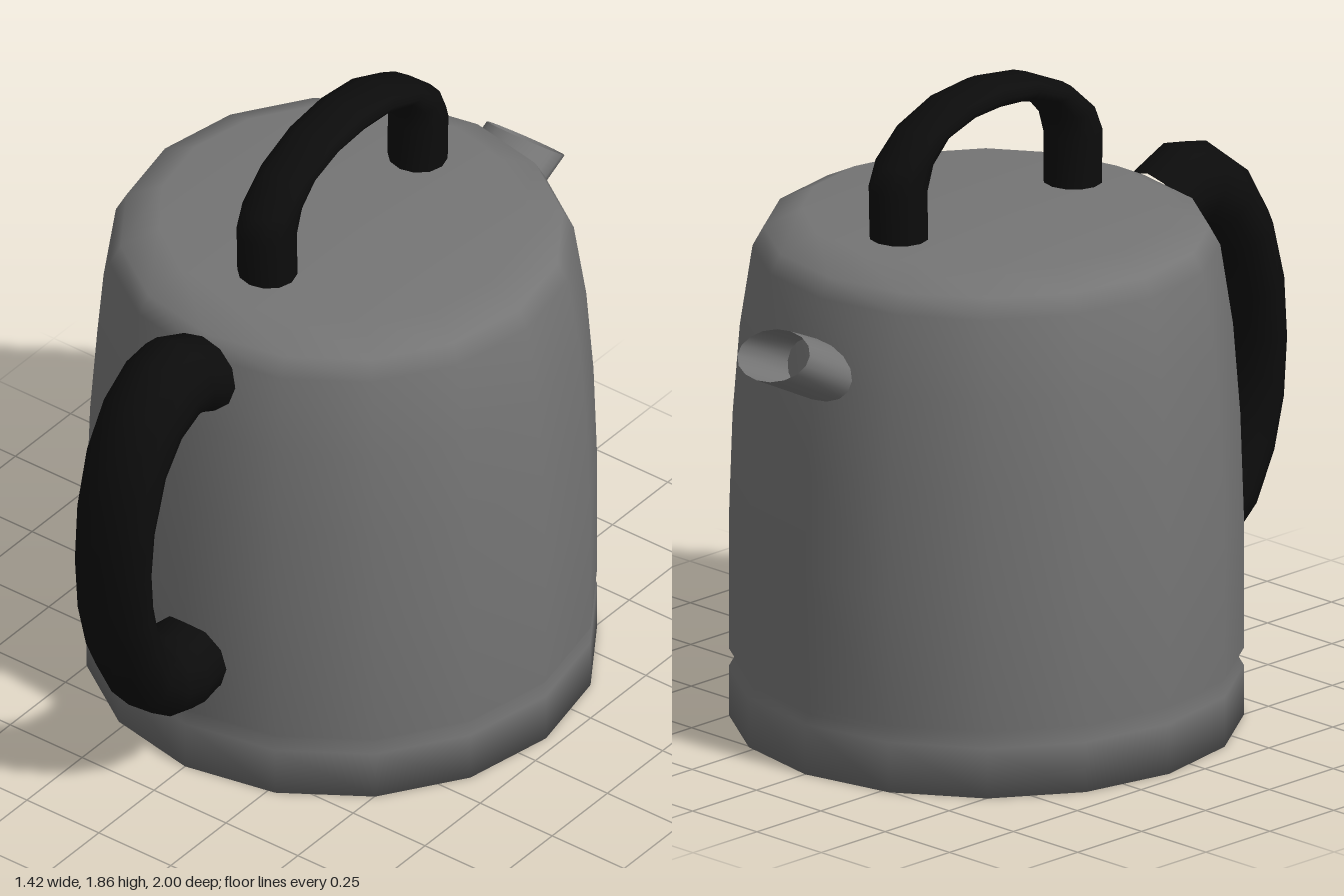
import * as THREE from 'three';

const steel = new THREE.MeshStandardMaterial({ color: 0x757575 });
steel.name = 'grey metal';
const spoutSteel = steel.clone();
spoutSteel.side = THREE.DoubleSide;
spoutSteel.name = 'grey metal open';
const black = new THREE.MeshStandardMaterial({ color: 0x0c0c0c });
black.name = 'black handle';

const AXIS_Z = -0.1; // centre line of the kettle body

// Tube in the yz plane: each station is [outerZ, outerY, innerZ, innerY],
// joined by an elliptical cross-section of the given half width in x.
function loft(stations, halfWidth, sides = 12) {
  const positions = [], index = [];
  for (const [oz, oy, iz, iy] of stations) {
    for (let j = 0; j < sides; j++) {
      const t = (j / sides) * Math.PI * 2;
      const s = Math.sin(t) / 2;
      positions.push(
        halfWidth * Math.cos(t),
        (oy + iy) / 2 + (oy - iy) * s,
        (oz + iz) / 2 + (oz - iz) * s
      );
    }
  }
  for (let i = 0; i < stations.length - 1; i++) {
    for (let j = 0; j < sides; j++) {
      const a = i * sides + j, b = i * sides + ((j + 1) % sides);
      index.push(a, a + sides, b, b, a + sides, b + sides);
    }
  }
  const geometry = new THREE.BufferGeometry();
  geometry.setAttribute('position', new THREE.Float32BufferAttribute(positions, 3));
  geometry.setIndex(index);
  geometry.computeVertexNormals();
  return geometry;
}

export function createModel() {
  const kettle = new THREE.Group();
  kettle.name = 'kettle';
  const add = (name, geometry, material) => {
    const mesh = new THREE.Mesh(geometry, material);
    mesh.name = name;
    kettle.add(mesh);
    return mesh;
  };

  // Sixteen-sided body with a groove above the base and a chamfered shoulder
  const profile = [
    [0, 0], [0.71, 0], [0.71, 0.145], [0.69, 0.17], [0.71, 0.195],
    [0.71, 0.58], [0.7, 0.88], [0.68, 1.14], [0.645, 1.37],
    [0.615, 1.425], [0.51, 1.477], [0, 1.477],
  ].map(([r, y]) => new THREE.Vector2(r, y));
  add('body', new THREE.LatheGeometry(profile, 16), steel).position.z = AXIS_Z;

  // Large side handle, from its lower end to its upper end
  add('sideHandle', loft([
    [0.56, 0.25, 0.56, 0.49], [0.6, 0.255, 0.6, 0.495], [0.66, 0.24, 0.66, 0.48],
    [0.76, 0.27, 0.73, 0.5], [0.865, 0.36, 0.8, 0.575], [0.94, 0.5, 0.85, 0.71],
    [0.985, 0.67, 0.865, 0.79], [1.0, 0.87, 0.87, 0.87], [0.99, 1.07, 0.855, 0.98],
    [0.95, 1.24, 0.8, 1.14], [0.87, 1.38, 0.73, 1.22], [0.76, 1.465, 0.66, 1.243],
    [0.66, 1.485, 0.61, 1.225], [0.53, 1.425, 0.56, 1.2],
  ], 0.125), black);

  // Arched handle on the top, mirrored front to back
  const half = [
    [0.42, 1.46, 0.26, 1.46], [0.425, 1.62, 0.26, 1.62], [0.395, 1.69, 0.24, 1.69],
    [0.3, 1.775, 0.19, 1.745], [0.155, 1.84, 0.1, 1.77],
  ];
  const arch = [
    ...half,
    [0, 1.86, 0, 1.775],
    ...half.map(([oz, oy, iz, iy]) => [-oz, oy, -iz, iy]).reverse(),
  ];
  add('topHandle', loft(arch, 0.085), black).position.z = AXIS_Z - 0.003;

  // Open spout with a slanted mouth
  add('spout', loft([
    [-0.69, 1.225, -0.7, 1.045], [-0.866, 1.305, -1.0, 1.195],
  ], 0.125, 16), spoutSteel);

  return kettle;
}
